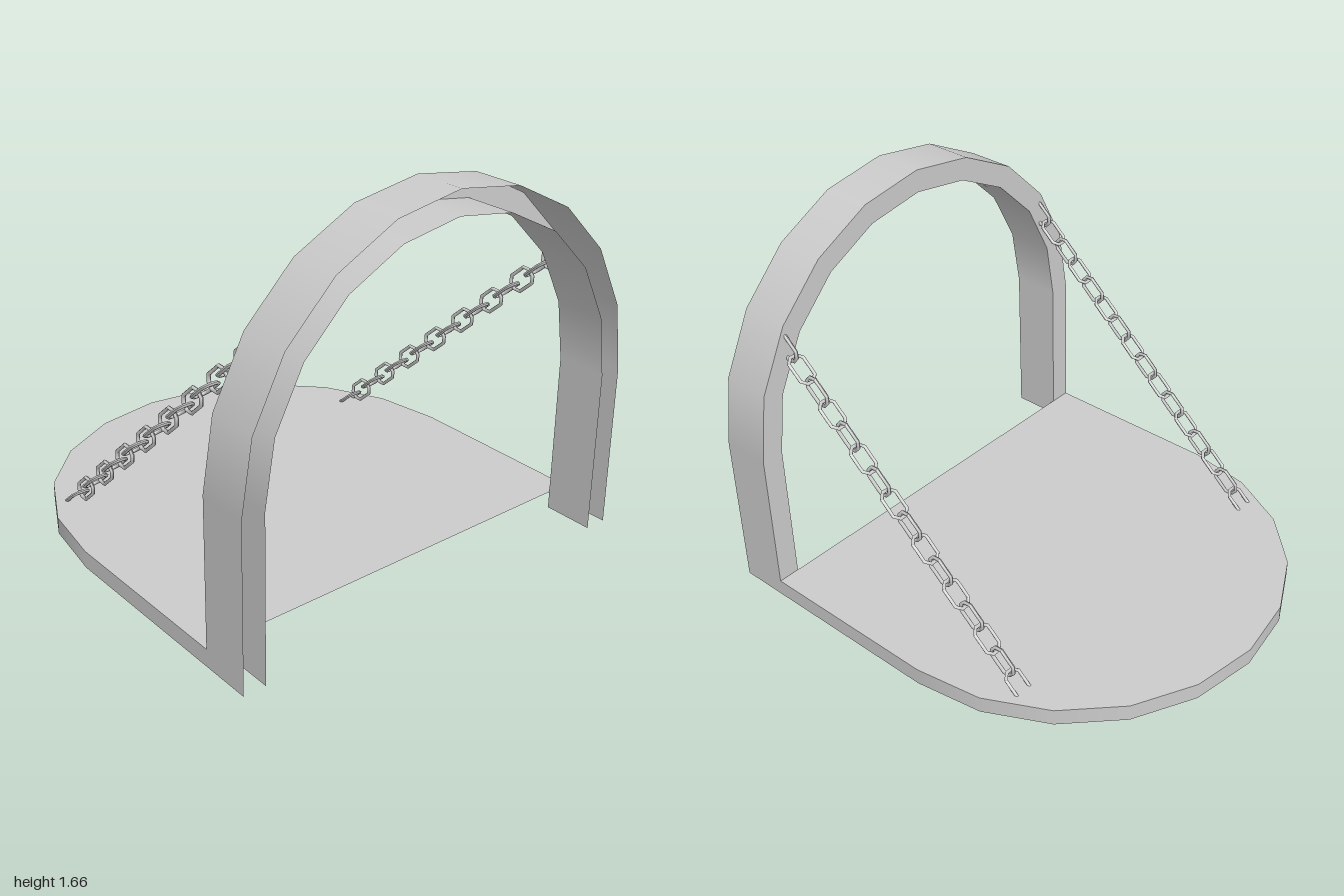
import * as THREE from 'three';

const material = new THREE.MeshStandardMaterial({ color: 0xcccccc, side: THREE.DoubleSide });

const DEPTH_BACK = 0.78; // plane where the arch meets the floor
const FLOOR_TOP = 0.075;

// U outline: straight sides from `base` to `centre`, then a ten-sided half circle.
// Each entry is [point, outward normal].
function outline(radius, base, centre) {
  const list = [[new THREE.Vector2(radius, base), new THREE.Vector2(1, 0)]];
  for (let i = 0; i <= 10; i++) {
    const a = (i / 10) * Math.PI;
    const n = new THREE.Vector2(Math.cos(a), Math.sin(a));
    list.push([new THREE.Vector2(n.x * radius, centre + n.y * radius), n]);
  }
  list.push([new THREE.Vector2(-radius, base), new THREE.Vector2(-1, 0)]);
  return list;
}

// Smooth open wall following an outline, from depth z0 to z1
function wall(path, z0, z1) {
  const pos = [], nor = [], idx = [];
  path.forEach(([p, n], i) => {
    pos.push(p.x, p.y, z0, p.x, p.y, z1);
    nor.push(n.x, n.y, 0, n.x, n.y, 0);
    if (i) {
      const a = 2 * i - 2;
      idx.push(a, a + 2, a + 1, a + 1, a + 2, a + 3);
    }
  });
  const g = new THREE.BufferGeometry();
  g.setAttribute('position', new THREE.Float32BufferAttribute(pos, 3));
  g.setAttribute('normal', new THREE.Float32BufferAttribute(nor, 3));
  g.setIndex(idx);
  return g;
}

function mesh(name, geometry) {
  const m = new THREE.Mesh(geometry, material);
  m.name = name;
  return m;
}

// Elongated eight-sided link, long axis along y, lying in the xy plane
function linkGeometry() {
  const g = new THREE.TorusGeometry(0.04, 0.008, 6, 8);
  g.rotateZ(Math.PI / 8);
  const p = g.attributes.position;
  for (let i = 0; i < p.count; i++) p.setY(i, p.getY(i) + Math.sign(p.getY(i)) * 0.025);
  g.computeVertexNormals();
  return g;
}

export function createModel() {
  const model = new THREE.Group();
  model.name = 'archWithChainedPlatform';

  // Arch: a channel open at the front and at the feet
  const arch = new THREE.Group();
  arch.name = 'arch';
  const outer = outline(0.953, 0, 0.707);
  const inner = outline(0.855, 0, 0.705);
  const ring = new THREE.Shape([...outer.map(e => e[0]), ...inner.map(e => e[0]).reverse()]);
  arch.add(
    mesh('archOuterWall', wall(outer, DEPTH_BACK, 1)),
    mesh('archInnerWall', wall(inner, DEPTH_BACK, 1)),
    mesh('archBackFace', new THREE.ShapeGeometry(ring).translate(0, 0, DEPTH_BACK))
  );
  model.add(arch);

  // Platform: a top plate and a rim, open below and at the front
  const platform = new THREE.Group();
  platform.name = 'platform';
  const edge = outline(0.953, -DEPTH_BACK, 0.047);
  const plate = new THREE.ShapeGeometry(new THREE.Shape(edge.map(e => e[0])));
  platform.add(
    mesh('platformTop', plate.rotateX(-Math.PI / 2).translate(0, FLOOR_TOP, 0)),
    mesh('platformRim', wall(edge, 0, FLOOR_TOP).rotateX(-Math.PI / 2))
  );
  model.add(platform);

  // Chains: links alternate by a quarter turn down the slope
  const link = linkGeometry();
  const slope = Math.atan2(0.16, 0.1435);
  for (const side of [1, -1]) {
    const chain = new THREE.Group();
    chain.name = side > 0 ? 'leftChain' : 'rightChain';
    for (let i = 0; i < 16; i++) {
      const m = mesh('chainLink', link);
      m.position.set(side * 0.765, 1.17 - 0.07175 * i, 0.78 - 0.08 * i);
      m.rotation.set(slope, i % 2 ? 0 : Math.PI / 2, 0);
      chain.add(m);
    }
    model.add(chain);
  }
  return model;
}
